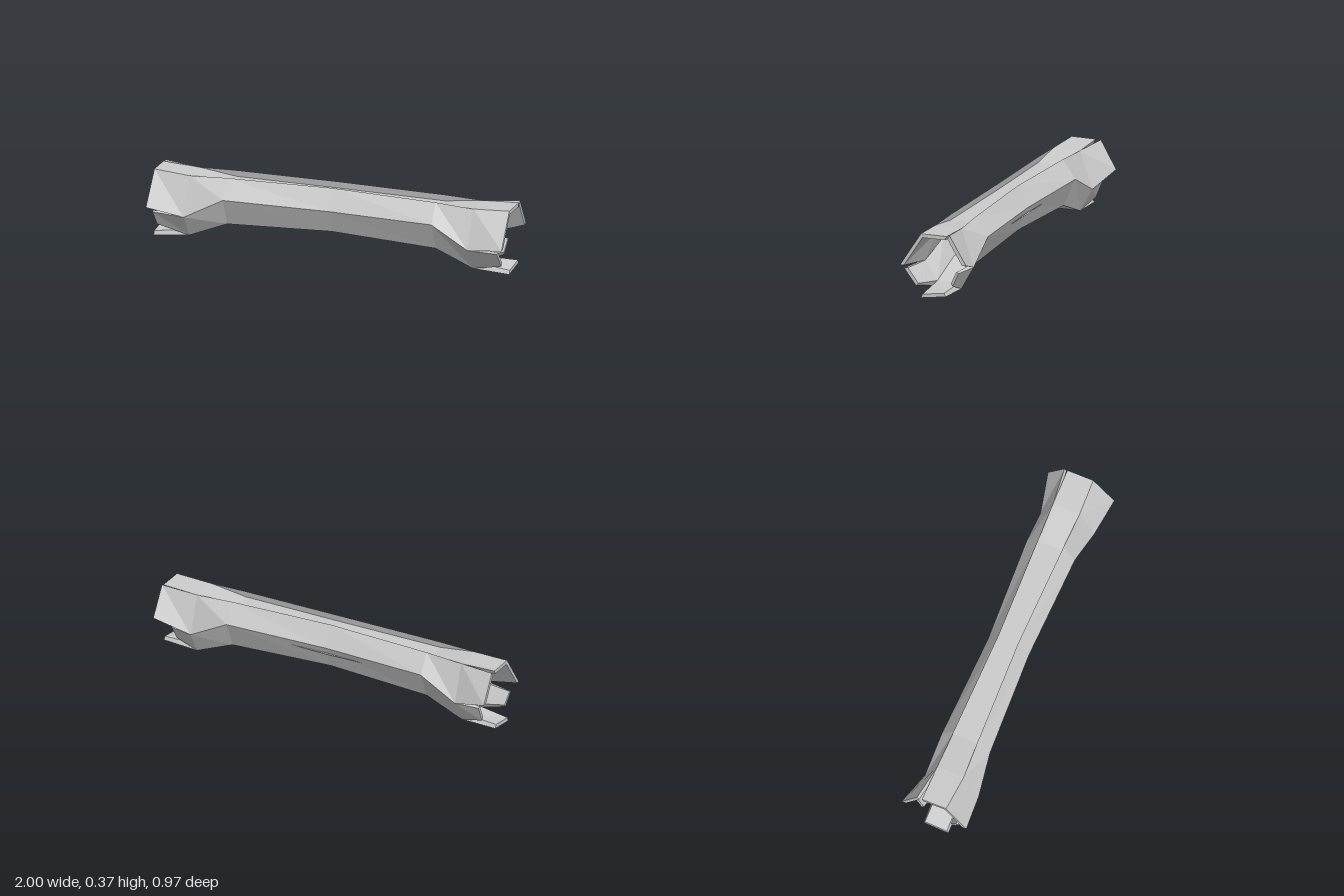
import * as THREE from 'three';

const material = new THREE.MeshStandardMaterial({ color: 0xcccccc, flatShading: true });

// Inner wall point for an outer point [u, y, w]
function inner([u, y, w]) {
  const a = Math.abs(u);
  const cy = a > 0.7 ? 0.19 : 0.23;
  const f = a > 0.8 ? 0.88 : 0.82;
  return [u, Math.min(cy + (y - cy) * f, a > 0.7 ? 1 : 0.306), w * f];
}

// Thick shell through rows of outer points; rows run towards +x.
// A closed shell is a tube, an open one is a slab with capped sides and ends.
function shell(name, rows, closed) {
  const pos = [];
  const quad = (a, b, c, d) => pos.push(...a, ...b, ...c, ...a, ...c, ...d);
  const n = rows[0].length;
  const ins = rows.map(r => r.map(inner));
  for (let i = 0; i < rows.length - 1; i++) {
    const o0 = rows[i], o1 = rows[i + 1], i0 = ins[i], i1 = ins[i + 1];
    for (let k = 0; k < (closed ? n : n - 1); k++) {
      const m = (k + 1) % n;
      quad(o0[k], o0[m], o1[m], o1[k]);
      quad(i0[k], i1[k], i1[m], i0[m]);
      if (!closed) {
        quad(o1[k], o1[m], i1[m], i1[k]);
        quad(o0[k], i0[k], i0[m], o0[m]);
      }
    }
    if (!closed) {
      const e = n - 1;
      quad(o0[0], o1[0], i1[0], i0[0]);
      quad(o0[e], i0[e], i1[e], o1[e]);
    }
  }
  const g = new THREE.BufferGeometry();
  g.setAttribute('position', new THREE.Float32BufferAttribute(pos, 3));
  g.computeVertexNormals();
  const mesh = new THREE.Mesh(g, material);
  mesh.name = name;
  return mesh;
}

// Six-sided section whose top side is sunk between two rims
function section(u, topY, topW, sink, midY, frontW, backW, lowY, lowW) {
  const floorW = topW + sink * 0.2;
  return [
    [u, topY, -topW], [u, topY - sink, -floorW], [u, topY - sink, floorW], [u, topY, topW],
    [u, midY, frontW], [u, lowY, lowW], [u, lowY, -lowW], [u, midY, -backW],
  ];
}

const knee = u => section(u, 0.353, 0.075, 0, 0.15, 0.16, 0.145, 0.025, 0.075);
const shoulder = u => section(u, 0.362, 0.068, 0.036, 0.26, 0.137, 0.137, 0.11, 0.07);

// Splintered end: each slab grows from the last section and splays out.
// Tips are [u, y, w]; side is +1 or -1 along the log.
function splitEnd(name, side, tips) {
  const k = knee(0.79);
  const roots = {
    topSplinter: [k[0], k[3], k[4]],
    frontSplinter: [k[4], k[5]],
    bottomSplinter: [k[5], k[6]],
    shortSplinter: [k[6], k[7]],
    backSplinter: [k[7], k[0]],
  };
  const end = new THREE.Group();
  end.name = name;
  for (const [part, root] of Object.entries(roots)) {
    const rows = [root, tips[part]].map(r => r.map(([u, y, w]) => [side * u, y, w]));
    end.add(shell(part, side > 0 ? rows : rows.reverse(), false));
  }
  return end;
}

export function createModel() {
  const model = new THREE.Group();
  model.name = 'hollowLog';
  const log = new THREE.Group();
  log.name = 'log';
  log.rotation.y = -0.312;
  model.add(log);

  // Hollow trunk, a little narrower in the middle
  log.add(shell('trunk', [
    knee(-0.79), shoulder(-0.58),
    section(0, 0.37, 0.055, 0.038, 0.26, 0.117, 0.115, 0.133, 0.062),
    shoulder(0.58), knee(0.79),
  ], true));

  log.add(splitEnd('leftEnd', 1, {
    topSplinter: [[0.99, 0.363, -0.076], [0.99, 0.362, 0.07], [0.99, 0.178, 0.19]],
    frontSplinter: [[0.96, 0.155, 0.178], [0.96, 0.066, 0.11]],
    bottomSplinter: [[0.99, 0.013, 0.07], [0.99, 0.034, -0.07]],
    shortSplinter: [[0.91, 0.07, -0.075], [0.92, 0.147, -0.115]],
    backSplinter: [[0.99, 0.216, -0.186], [0.99, 0.37, -0.092]],
  }));
  log.add(splitEnd('rightEnd', -1, {
    topSplinter: [[0.99, 0.362, -0.079], [0.99, 0.362, 0.058], [0.995, 0.185, 0.174]],
    frontSplinter: [[0.977, 0.147, 0.122], [0.965, 0.07, 0.085]],
    bottomSplinter: [[0.99, 0, 0.07], [0.99, 0.018, -0.07]],
    shortSplinter: [[0.93, 0.066, -0.105], [0.93, 0.155, -0.142]],
    backSplinter: [[0.99, 0.21, -0.194], [0.99, 0.362, -0.107]],
  }));

  // Thin sliver of wood on the back of the trunk
  const sliver = new THREE.Mesh(new THREE.OctahedronGeometry(1), material);
  sliver.name = 'barkSliver';
  sliver.scale.set(0.22, 0.005, 0.006);
  sliver.position.set(0, 0.225, -0.109);
  log.add(sliver);

  return model;
}
